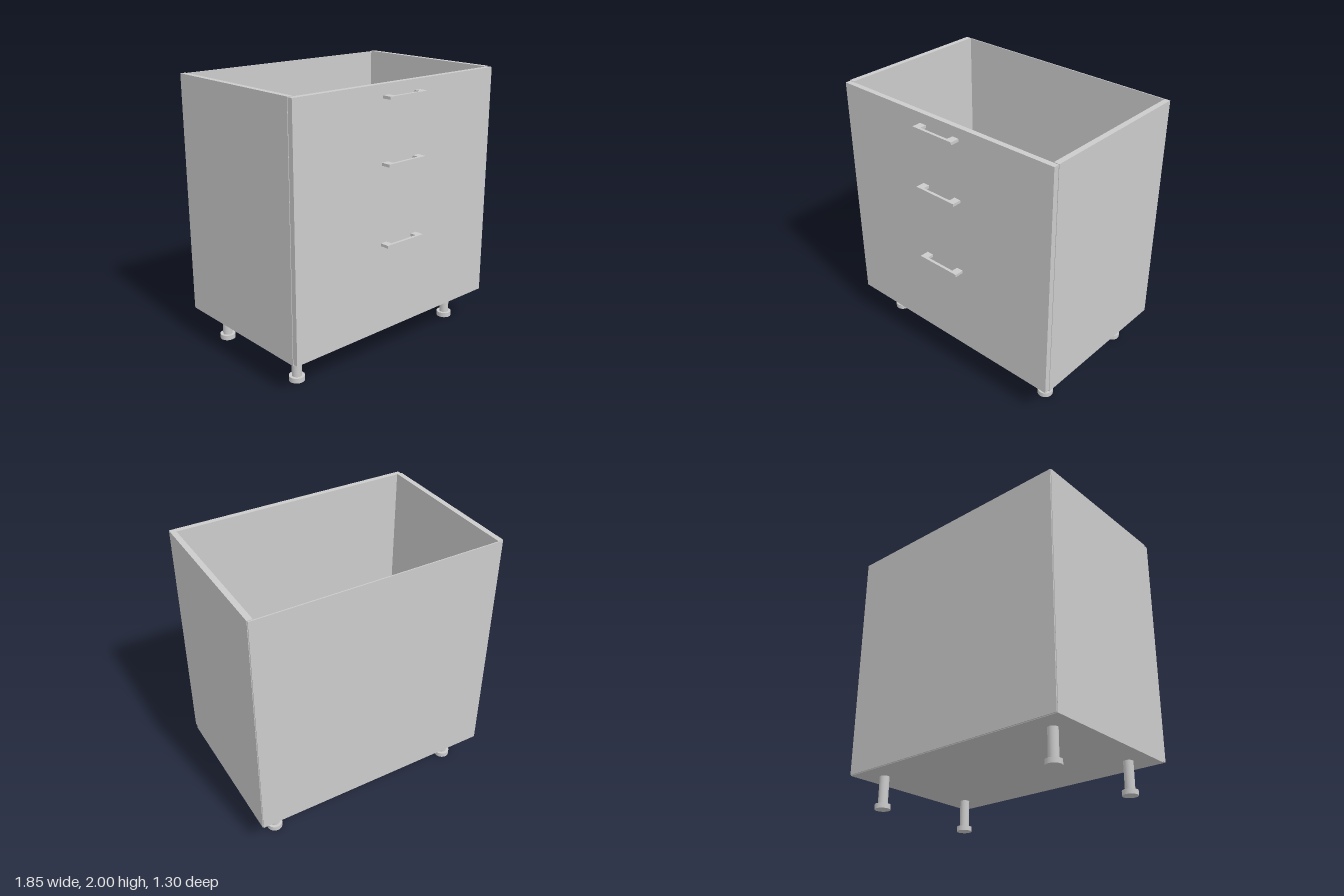
import * as THREE from 'three';

const material = new THREE.MeshStandardMaterial({ color: 0xcccccc });

// Box given by its min and max corners
function box(name, [x0, y0, z0], [x1, y1, z1]) {
  const geometry = new THREE.BoxGeometry(x1 - x0, y1 - y0, z1 - z0);
  geometry.translate((x0 + x1) / 2, (y0 + y1) / 2, (z0 + z1) / 2);
  const mesh = new THREE.Mesh(geometry, material);
  mesh.name = name;
  return mesh;
}

function cylinder(name, radius, y0, y1) {
  const mesh = new THREE.Mesh(new THREE.CylinderGeometry(radius, radius, y1 - y0, 32), material);
  mesh.position.y = (y0 + y1) / 2;
  mesh.name = name;
  return mesh;
}

// U-shaped pull, drawn in plan and extruded upwards
function createHandle(y) {
  const points = [[-0.18, 0.58], [-0.18, 0.648], [0.165, 0.648], [0.165, 0.58],
    [0.112, 0.58], [0.112, 0.627], [-0.127, 0.627], [-0.127, 0.58]];
  const shape = new THREE.Shape(points.map(([x, z]) => new THREE.Vector2(x, -z)));
  const geometry = new THREE.ExtrudeGeometry(shape, { depth: 0.02, bevelEnabled: false });
  geometry.rotateX(-Math.PI / 2);
  const handle = new THREE.Mesh(geometry, material);
  handle.position.y = y - 0.01;
  handle.name = 'drawerHandle';
  return handle;
}

function createLeg(x, z) {
  const leg = new THREE.Group();
  leg.name = 'leg';
  leg.add(cylinder('legPost', 0.035, 0.035, 0.24), cylinder('legFoot', 0.056, 0, 0.036));
  leg.position.set(x, 0, z);
  return leg;
}

export function createModel() {
  const cabinet = new THREE.Group();
  cabinet.name = 'drawerCabinet';

  // Open-topped carcass
  cabinet.add(
    box('leftSide', [0.885, 0.24, -0.64], [0.925, 2, 0.54]),
    box('rightSide', [-0.925, 0.24, -0.64], [-0.885, 2, 0.54]),
    box('bottomPanel', [-0.885, 0.24, -0.64], [0.885, 0.28, 0.54]),
    box('backPanel', [-0.921, 0.244, -0.648], [0.921, 1.996, -0.64]),
    box('frontPanel', [-0.921, 0.25, 0.54], [0.921, 1.996, 0.58])
  );

  // One pull per drawer
  for (const y of [1.912, 1.467, 0.902]) cabinet.add(createHandle(y));

  // Adjustable legs
  for (const x of [-0.757, 0.757]) {
    for (const z of [0.366, -0.47]) cabinet.add(createLeg(x, z));
  }
  return cabinet;
}
